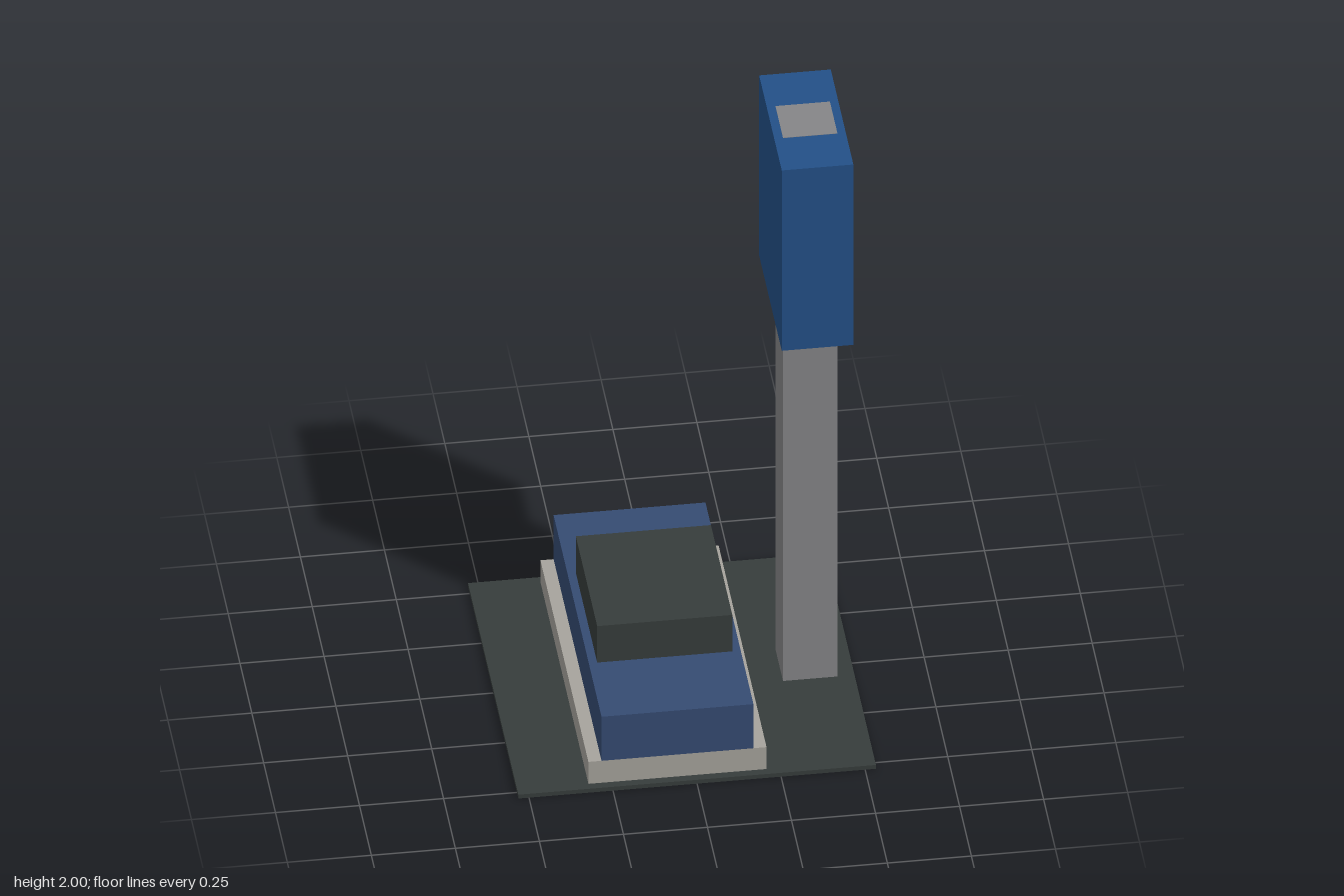
import * as THREE from 'three';

function material(name, color) {
  const m = new THREE.MeshStandardMaterial({ color });
  m.name = name;
  return m;
}

export function createModel() {
  const group = new THREE.Group();
  const charcoal = material('charcoal', 0x363c3b);
  const stone = material('warm stone', 0xa6a39c);
  const navy = material('navy', 0x354b72);
  const blue = material('sign blue', 0x235087);
  const grey = material('post grey', 0x858587);

  // Adds a box spanning the given ranges on each axis
  function block(name, mat, [x0, x1], [y0, y1], [z0, z1]) {
    const mesh = new THREE.Mesh(new THREE.BoxGeometry(x1 - x0, y1 - y0, z1 - z0), mat);
    mesh.position.set((x0 + x1) / 2, (y0 + y1) / 2, (z0 + z1) / 2);
    mesh.name = name;
    group.add(mesh);
  }

  // Ground slab
  block('basePlate', charcoal, [-0.532, 0.532], [0.001, 0.015], [-0.532, 0.532]);

  // Stepped structure: plinth, main body, upper block
  block('plinth', stone, [-0.32, 0.21], [0.015, 0.095], [-0.507, 0.507]);
  block('mainBody', navy, [-0.281, 0.171], [0.095, 0.256], [-0.507, 0.507]);
  block('upperBlock', charcoal, [-0.256, 0.146], [0.256, 0.389], [-0.214, 0.238]);

  // Tall sign: the post runs through slab and panel, showing at both ends
  block('signPost', grey, [0.319, 0.481], [0, 2], [-0.08, 0.08]);
  block('signPanel', blue, [0.293, 0.506], [1.34, 1.999], [-0.239, 0.239]);

  return group;
}
